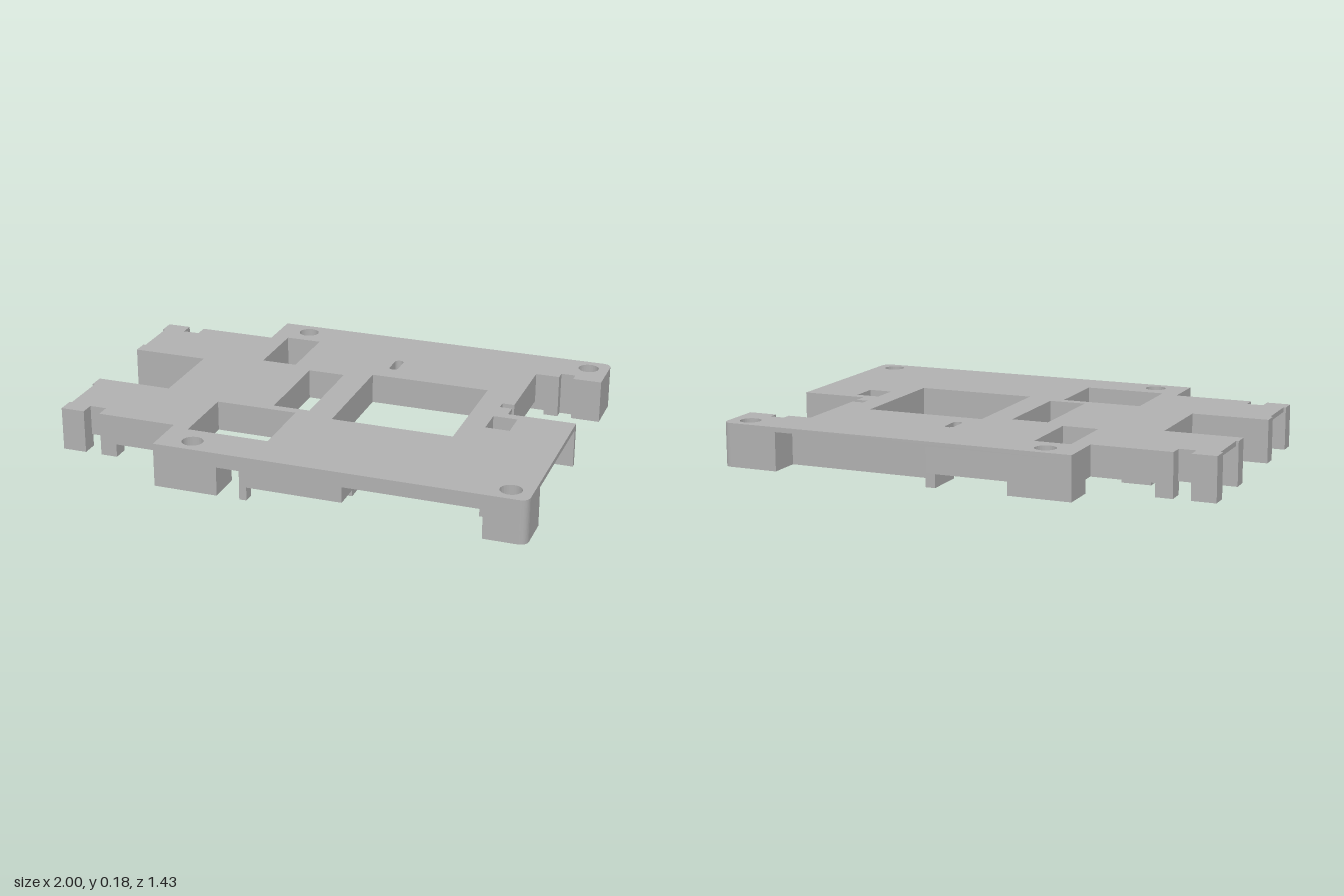
import * as THREE from 'three';

const grey = new THREE.MeshStandardMaterial({ color: 0xb0b0b0 });
grey.name = 'plain grey';

const SCREWS = [[-0.365, -0.64], [0.915, -0.64], [-0.365, 0.64], [0.915, 0.64]];
const WINDOWS = [ // x0, x1, z0, z1
  [-0.43, -0.28, -0.545, -0.25],
  [-0.2, -0.045, -0.21, 0.2],
  [-0.43, -0.09, 0.24, 0.54],
  [0.07, 0.575, -0.255, 0.25],
  [0.67, 0.77, 0, 0.12],
];

// Plan shape in x and z; the two outer corners on the +x side are rounded
function planShape(points) {
  const s = new THREE.Shape();
  const r = 0.04;
  points.forEach(([x, z], i) => {
    if (x === 1 && Math.abs(z) === 0.715) {
      if (z < 0) s.lineTo(1 - r, z).quadraticCurveTo(1, z, 1, z + r);
      else s.lineTo(1, z - r).quadraticCurveTo(1, z, 1 - r, z);
    } else if (i === 0) s.moveTo(x, z);
    else s.lineTo(x, z);
  });
  s.closePath();
  return s;
}

const rect = (x0, x1, z0, z1) => [[x0, z0], [x1, z0], [x1, z1], [x0, z1]];

function screwHole([x, z]) {
  const p = new THREE.Path();
  p.absarc(x, z, 0.043, 0, Math.PI * 2, true);
  return p;
}

function slab(group, name, shape, y0, y1) {
  const g = new THREE.ExtrudeGeometry(shape, { depth: y1 - y0, bevelEnabled: false, curveSegments: 14 });
  g.rotateX(Math.PI / 2);
  g.translate(0, y1, 0);
  const m = new THREE.Mesh(g, grey);
  m.name = name;
  group.add(m);
}

function block(group, name, x0, x1, z0, z1, y0, y1) {
  const m = new THREE.Mesh(new THREE.BoxGeometry(x1 - x0, y1 - y0, z1 - z0), grey);
  m.position.set((x0 + x1) / 2, (y0 + y1) / 2, (z0 + z1) / 2);
  m.name = name;
  group.add(m);
}

// Outline of the frame; pockets open up in the lower layers
function outline(sidePockets, frontPockets) {
  const wing = [[-0.5, 0.52], [-0.83, 0.52], [-0.83, 0.46], [-0.9, 0.46], [-0.9, 0.52], [-1, 0.52], [-1, 0.45],
    ...(sidePockets ? [[-0.8, 0.45], [-0.8, 0.245]] : [[-0.99, 0.45], [-0.99, 0.245]]),
    [-1, 0.245], [-1, 0.18], [-0.68, 0.18]];
  const mirrored = wing.map(([x, z]) => [x, -z]).reverse();
  return [
    [-0.5, -0.715],
    ...(sidePockets ? [[0.1, -0.715], [0.1, -0.58], [0.76, -0.58], [0.76, -0.715]] : []),
    [1, -0.715], [1, -0.5], [0.88, -0.5], [0.88, -0.54], [0.82, -0.54], [0.82, -0.5], [0.72, -0.5],
    [0.72, -0.14], [0.67, -0.14], [0.67, -0.1], [0.72, -0.1], [0.72, -0.04], [1, -0.04],
    ...(sidePockets ? [[1, -0.02], [0.8, -0.02], [0.8, 0.54], [1, 0.54]] : []),
    [1, 0.715],
    ...(frontPockets ? [[0.83, 0.715], [0.83, 0.58], [0.28, 0.58], [0.28, 0.715],
      [-0.14, 0.715], [-0.14, 0.58], [-0.235, 0.58], [-0.235, 0.715]] : []),
    [-0.5, 0.715],
    ...wing, ...mirrored,
  ];
}

function frameLayer(group, name, points, y0, y1) {
  const s = planShape(points);
  for (const w of WINDOWS) s.holes.push(new THREE.Path(rect(...w).reverse().map(p => new THREE.Vector2(...p))));
  SCREWS.forEach(c => s.holes.push(screwHole(c)));
  // small rounded slot
  const slot = new THREE.Path();
  slot.absarc(0.13, -0.43, 0.019, Math.PI, 0, false);
  slot.absarc(0.13, -0.36, 0.019, 0, Math.PI, false);
  slot.closePath();
  s.holes.push(slot);
  slab(group, name, s, y0, y1);
}

export function createModel() {
  const model = new THREE.Group();
  model.name = 'mounting frame';

  // Stacked layers of the plate
  frameLayer(model, 'top plate', outline(false, false), 0.16, 0.18);
  frameLayer(model, 'middle plate', outline(true, false), 0.12, 0.16);
  frameLayer(model, 'lower plate', outline(true, true), 0.055, 0.12);
  block(model, 'notch floor', 0.67, 0.72, -0.14, -0.1, 0.055, 0.075);

  // Corner feet with screw holes
  const feet = [[-0.5, -0.24, -0.715, -0.57], [0.76, 1, -0.715, -0.54],
    [-0.5, -0.235, 0.565, 0.715], [0.83, 1, 0.54, 0.715]];
  feet.forEach((f, i) => {
    const s = planShape(rect(...f));
    s.holes.push(screwHole(SCREWS[i]));
    slab(model, 'corner foot', s, 0, 0.055);
  });
  block(model, 'back corner foot extension', 0.76, 0.82, -0.54, -0.5, 0, 0.055);
  block(model, 'back corner foot extension', 0.88, 1, -0.54, -0.5, 0, 0.055);

  // Pocket walls and struts under the plate
  block(model, 'back pocket wall', 0.06, 0.76, -0.58, -0.545, 0, 0.055);
  block(model, 'back pocket end wall', 0.06, 0.1, -0.715, -0.58, 0, 0.055);
  block(model, 'side pocket wall', 0.77, 0.8, 0.12, 0.54, 0, 0.055);
  block(model, 'side thin wall', 0.72, 1, -0.04, -0.02, 0, 0.16);
  block(model, 'front strut', -0.14, -0.11, 0.67, 0.715, 0, 0.055);
  block(model, 'front inner block', 0.1, 0.26, 0.45, 0.54, 0, 0.055);

  // Legs, rails and stepped blocks under both wings
  for (const s of [-1, 1]) {
    const wingBlock = (name, x0, x1, za, zb, y0, y1) =>
      block(model, name, x0, x1, Math.min(s * za, s * zb), Math.max(s * za, s * zb), y0, y1);
    wingBlock('wing end leg', -1, -0.9, 0.45, 0.52, 0, 0.055);
    wingBlock('wing outer leg', -0.83, -0.76, 0.45, 0.52, 0, 0.055);
    wingBlock('wing inner rail', -1, -0.5, 0.18, 0.245, 0, 0.055);
    wingBlock('wing step', -0.74, -0.54, 0.28, 0.42, 0.03, 0.055);
    wingBlock('wing lower step', -0.7, -0.58, 0.31, 0.39, 0.01, 0.03);
  }
  block(model, 'slot wall', -0.68, -0.64, -0.04, 0.18, 0, 0.055);
  block(model, 'slot wall', -0.68, -0.64, -0.18, -0.13, 0, 0.055);

  return model;
}
